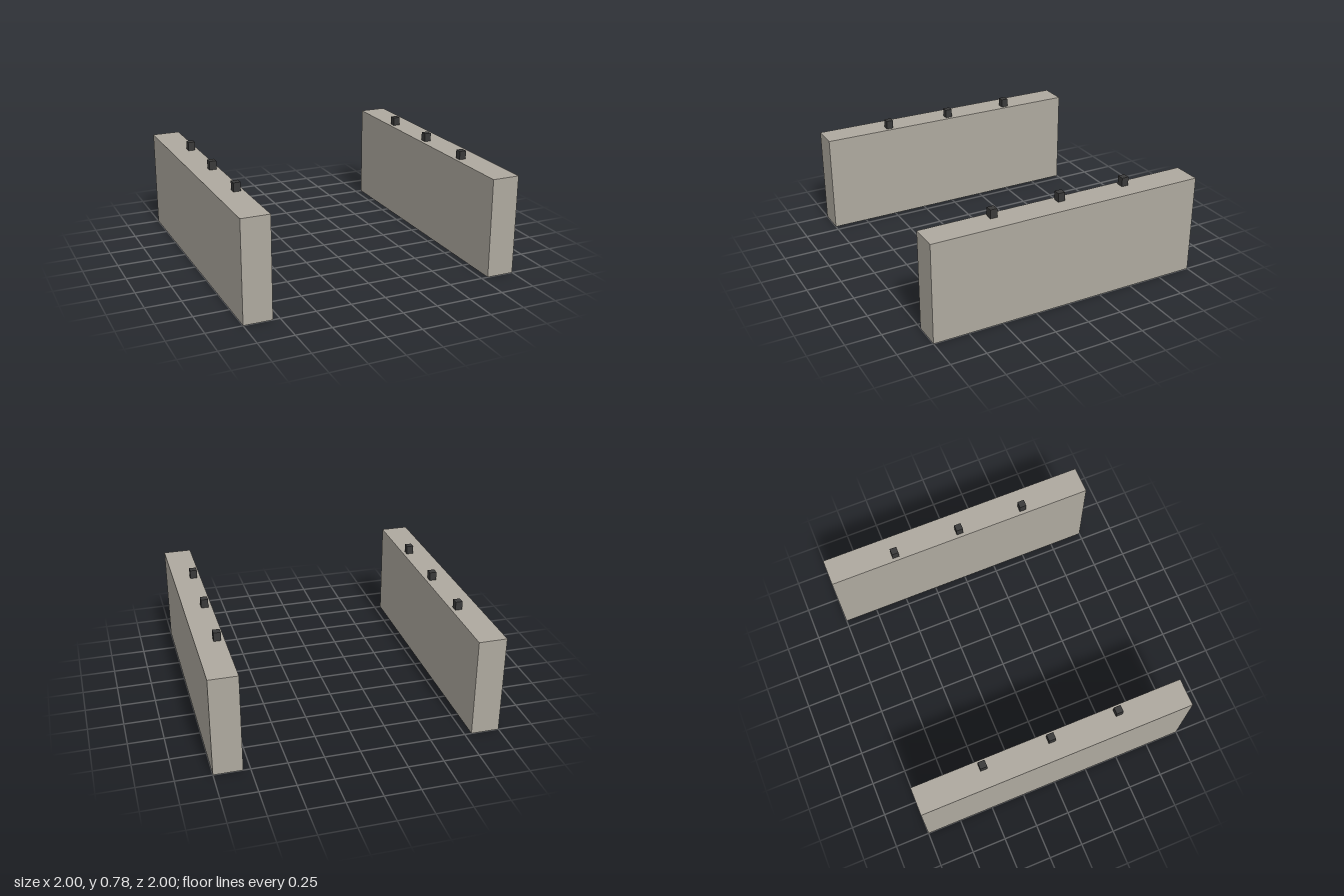
import * as THREE from 'three';

const H = 0.715; // wall height

// Box without its bottom face
function openBox(w, h, d) {
  const geo = new THREE.BoxGeometry(w, h, d);
  const index = Array.from(geo.index.array);
  index.splice(18, 6);
  geo.setIndex(index);
  geo.clearGroups();
  return geo;
}

export function createModel() {
  const stone = new THREE.MeshStandardMaterial({ color: 0xaea99f, side: THREE.DoubleSide });
  stone.name = 'warm grey';
  const dark = new THREE.MeshStandardMaterial({ color: 0x3a3a3a });
  dark.name = 'charcoal';

  const model = new THREE.Group();
  model.name = 'parallelWalls';

  const add = (parent, name, geo, mat, x, y, z) => {
    const mesh = new THREE.Mesh(geo, mat);
    mesh.name = name;
    mesh.position.set(x, y, z);
    parent.add(mesh);
  };

  const wallGeo = openBox(0.2, H, 2);
  const pegGeo = new THREE.BoxGeometry(0.05, 0.062, 0.05);
  const ribGeo = new THREE.BoxGeometry(0.02, H - 0.01, 0.012);

  for (const side of [1, -1]) {
    const half = new THREE.Group();
    half.name = side > 0 ? 'leftWall' : 'rightWall';

    // Hollow wall, open underneath
    add(half, 'wallShell', wallGeo, stone, side * 0.9, H / 2, 0);

    // Row of pegs along the top, nearer the inner side
    for (const z of [-0.5, 0, 0.5]) add(half, 'peg', pegGeo, dark, side * 0.85, H + 0.031, z);

    // Pair of slim ribs inside the inner face
    for (const z of [0.21, 0.33]) add(half, 'innerRib', ribGeo, stone, side * 0.811, (H - 0.01) / 2, z);

    model.add(half);
  }
  return model;
}
